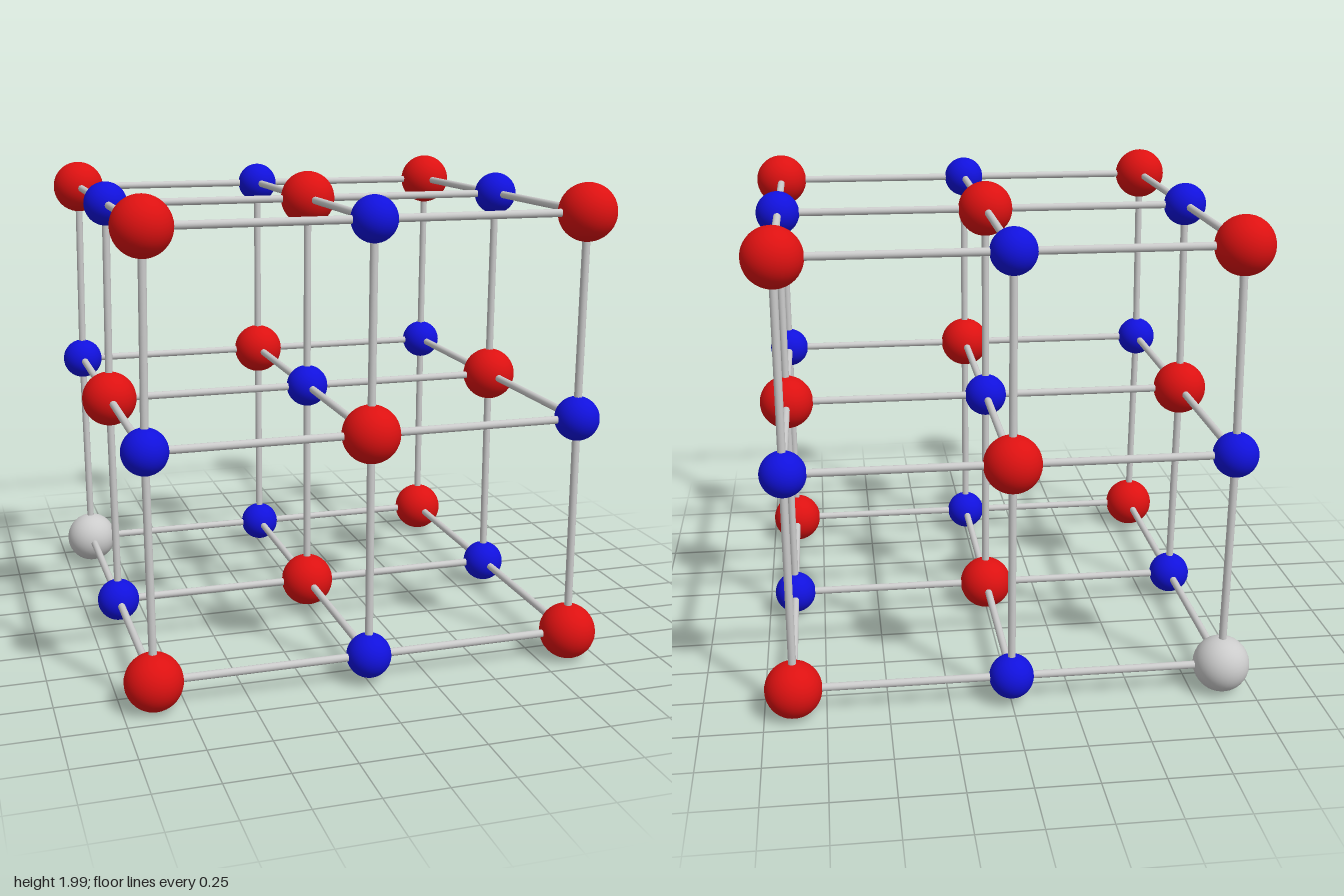
import * as THREE from 'three';

const RED_RADIUS = 0.116, BLUE_RADIUS = 0.091, ROD_RADIUS = 0.016;
const LAYER_Y = [0.12, 1.04, 1.873];

// Position of a lattice node; i, j, k run 0..2 along x, y, z
function nodePosition(i, j, k) {
  const left = j === 1 ? -0.885 : -0.875;
  const shiftZ = j === 2 ? 0.006 : -0.004; // top layer sits slightly forward
  return new THREE.Vector3([left, 0, 0.88][i], LAYER_Y[j], (k - 1) * 0.878 + shiftZ);
}

export function createModel() {
  const model = new THREE.Group();
  model.name = 'crystalLattice';
  const atoms = new THREE.Group();
  atoms.name = 'atoms';
  const rods = new THREE.Group();
  rods.name = 'rods';
  model.add(atoms, rods);

  const grey = new THREE.MeshStandardMaterial({ color: 0xcccccc });
  const red = new THREE.MeshStandardMaterial({ color: 0xdd1111 });
  const blue = new THREE.MeshStandardMaterial({ color: 0x1111dd });
  const largeSphere = new THREE.SphereGeometry(RED_RADIUS, 32, 20);
  const smallSphere = new THREE.SphereGeometry(BLUE_RADIUS, 32, 20);
  const rodGeometry = new THREE.CylinderGeometry(ROD_RADIUS, ROD_RADIUS, 1, 16, 1, true);
  const up = new THREE.Vector3(0, 1, 0);

  // Rod between two node centres
  function addRod(a, b) {
    const rod = new THREE.Mesh(rodGeometry, grey);
    const direction = b.clone().sub(a);
    rod.name = 'rod';
    rod.scale.y = direction.length();
    rod.position.copy(a).add(b).multiplyScalar(0.5);
    rod.quaternion.setFromUnitVectors(up, direction.normalize());
    rods.add(rod);
  }

  for (let i = 0; i < 3; i++) {
    for (let j = 0; j < 3; j++) {
      for (let k = 0; k < 3; k++) {
        const position = nodePosition(i, j, k);

        // Large and small atoms alternate; one lower back corner is grey
        const large = (i + j + k) % 2 === 0;
        const plain = i + j + k === 0;
        const atom = new THREE.Mesh(
          large ? largeSphere : smallSphere,
          plain ? grey : large ? red : blue
        );
        atom.name = plain ? 'greyAtom' : large ? 'largeAtom' : 'smallAtom';
        atom.position.copy(position);
        atoms.add(atom);

        // Rods to the next node along each axis
        if (i < 2) addRod(position, nodePosition(i + 1, j, k));
        if (j < 2) addRod(position, nodePosition(i, j + 1, k));
        if (k < 2) addRod(position, nodePosition(i, j, k + 1));
      }
    }
  }
  return model;
}
